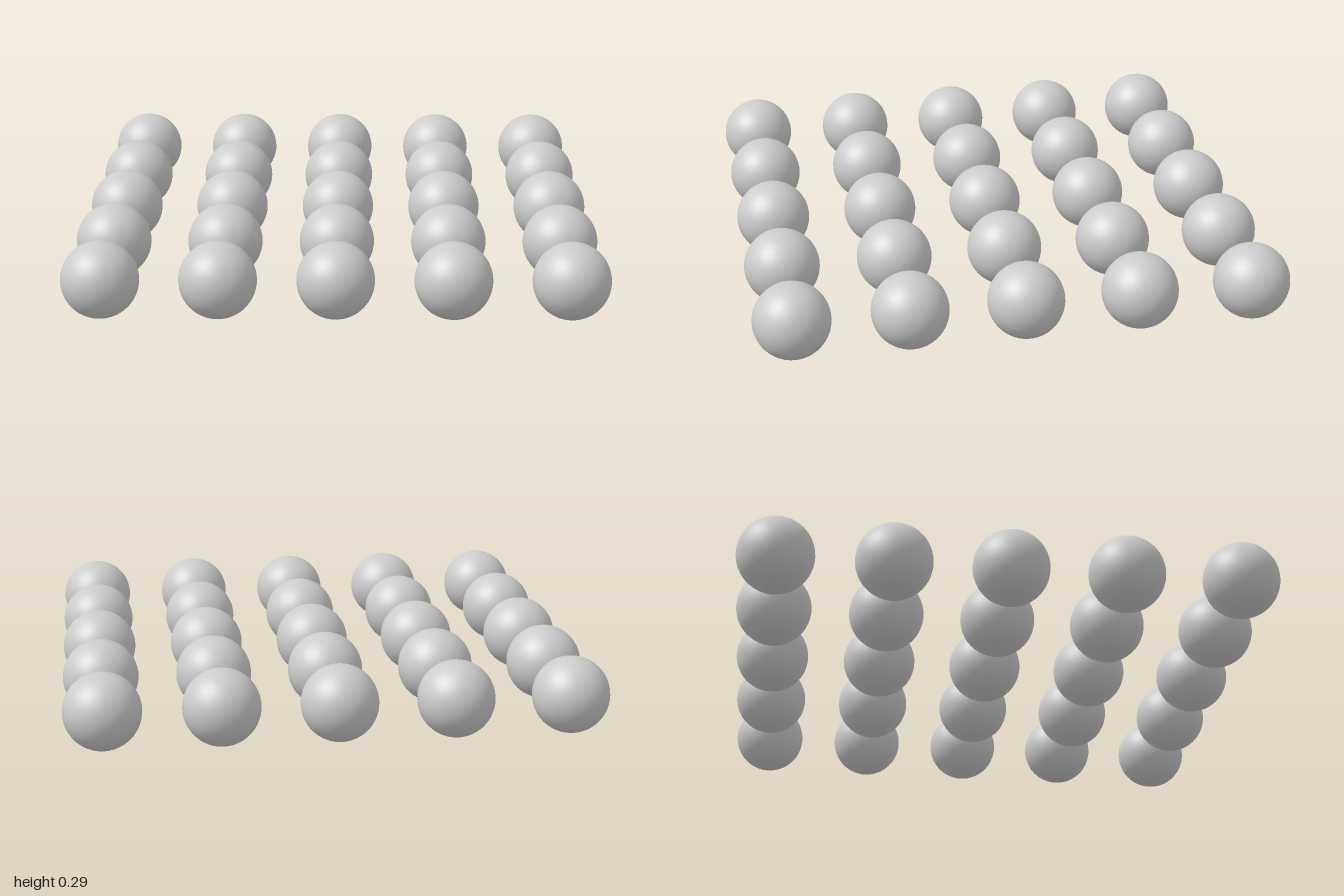
import * as THREE from 'three';

const COUNT = 5;          // spheres along each side
const RADIUS = 1 / 7;
const SPACING = 3 * RADIUS;

export function createModel() {
  const model = new THREE.Group();
  model.name = 'sphereGrid';

  const material = new THREE.MeshStandardMaterial({ color: 0xcccccc });
  const geometry = new THREE.SphereGeometry(RADIUS, 48, 28);
  const offset = (i) => (i - (COUNT - 1) / 2) * SPACING;

  // Square grid of equal spheres resting on the ground, grouped by row
  for (let row = 0; row < COUNT; row++) {
    const rowGroup = new THREE.Group();
    rowGroup.name = `row${row + 1}`;
    rowGroup.position.set(0, RADIUS, offset(row));
    for (let col = 0; col < COUNT; col++) {
      const sphere = new THREE.Mesh(geometry, material);
      sphere.name = `sphere${col + 1}`;
      sphere.position.x = offset(col);
      rowGroup.add(sphere);
    }
    model.add(rowGroup);
  }

  return model;
}
